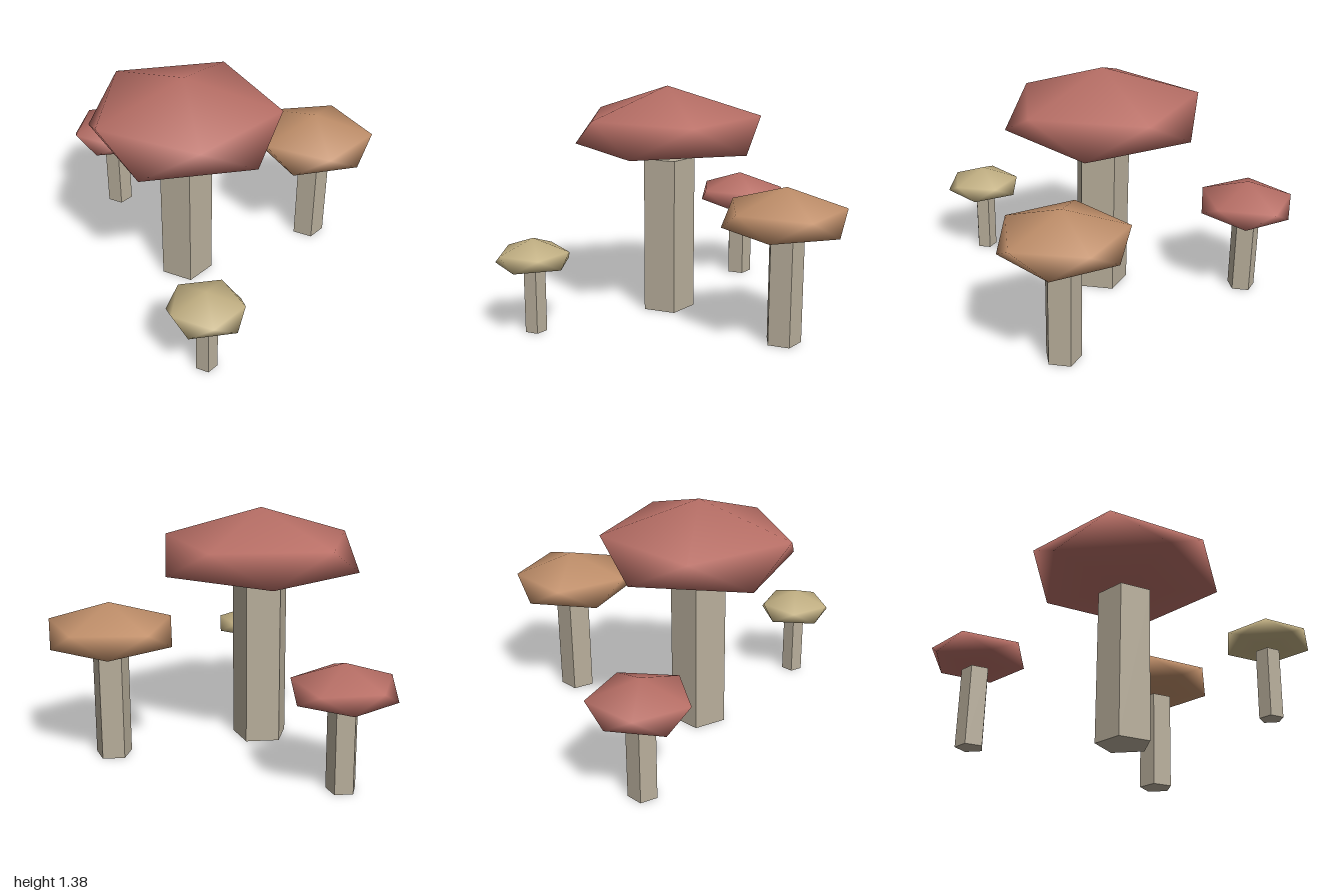
import * as THREE from 'three';

const mat = (name, color, flatShading = false) => {
  const m = new THREE.MeshStandardMaterial({ color, flatShading });
  m.name = name;
  return m;
};

// Smooth faceted cap: apex, two staggered five-point rings, shallow underside.
// levels = heights of apex, upper ring, lower ring and underside centre.
function capGeometry(levels, upper, lower) {
  const [top, yUpper, yLower, bottom] = levels;
  const pos = [0, top, 0];
  const ring = (radii, y, offset) => radii.forEach((r, i) => {
    const a = (i + offset) * Math.PI * 2 / 5;
    pos.push(r * Math.cos(a), y, r * Math.sin(a));
  });
  ring(upper, yUpper, 0);
  ring(lower, yLower, 0.5);
  pos.push(0, bottom, 0);

  const index = [];
  for (let i = 0; i < 5; i++) {
    const j = (i + 1) % 5;
    const u0 = 1 + i, u1 = 1 + j, l0 = 6 + i, l1 = 6 + j;
    index.push(0, u1, u0, u0, u1, l0, l0, u1, l1, 11, l0, l1);
  }
  const g = new THREE.BufferGeometry();
  g.setAttribute('position', new THREE.Float32BufferAttribute(pos, 3));
  g.setIndex(index);
  g.computeVertexNormals();
  return g;
}

export function createModel() {
  const model = new THREE.Group();
  model.name = 'mushroomCluster';

  const stemMat = mat('stemGrey', 0xb8ae9b, true);
  const red = mat('capRed', 0xb86f66);
  const orange = mat('capOrange', 0xc08f6a);
  const yellow = mat('capYellow', 0xc2b083);

  const mushrooms = [
    { name: 'largeRedMushroom', x: -0.14, z: -0.065, stemR: 0.165, stemH: 0.945, cap: red,
      levels: [1.375, 1.2, 1.02, 0.99],
      upper: [0.57, 0.515, 0.55, 0.57, 0.56], lower: [0.57, 0.56, 0.57, 0.56, 0.58] },
    { name: 'orangeMushroom', x: 0.62, z: -0.54, stemR: 0.105, stemH: 0.615, cap: orange,
      levels: [0.895, 0.78, 0.66, 0.645],
      upper: [0.36, 0.345, 0.36, 0.365, 0.335], lower: [0.342, 0.357, 0.36, 0.335, 0.335] },
    { name: 'smallRedMushroom', x: -0.71, z: -0.73, stemR: 0.084, stemH: 0.475, cap: red,
      levels: [0.7, 0.6, 0.507, 0.495],
      upper: [0.28, 0.286, 0.285, 0.268, 0.286], lower: [0.276, 0.26, 0.28, 0.258, 0.27] },
    { name: 'yellowMushroom', x: 0.097, z: 0.787, stemR: 0.065, stemH: 0.38, cap: yellow,
      levels: [0.558, 0.478, 0.408, 0.398],
      upper: [0.215, 0.21, 0.215, 0.215, 0.207], lower: [0.23, 0.225, 0.225, 0.225, 0.222] },
  ];

  for (const m of mushrooms) {
    const group = new THREE.Group();
    group.name = m.name;
    group.position.set(m.x, 0, m.z);

    // Five-sided stem with one corner towards +x, stopping just below the cap
    const stem = new THREE.Mesh(
      new THREE.CylinderGeometry(m.stemR, m.stemR, m.stemH, 5, 1, false, Math.PI / 2), stemMat);
    stem.name = 'stem';
    stem.position.y = m.stemH / 2;

    const cap = new THREE.Mesh(capGeometry(m.levels, m.upper, m.lower), m.cap);
    cap.name = 'cap';

    group.add(stem, cap);
    model.add(group);
  }
  return model;
}
